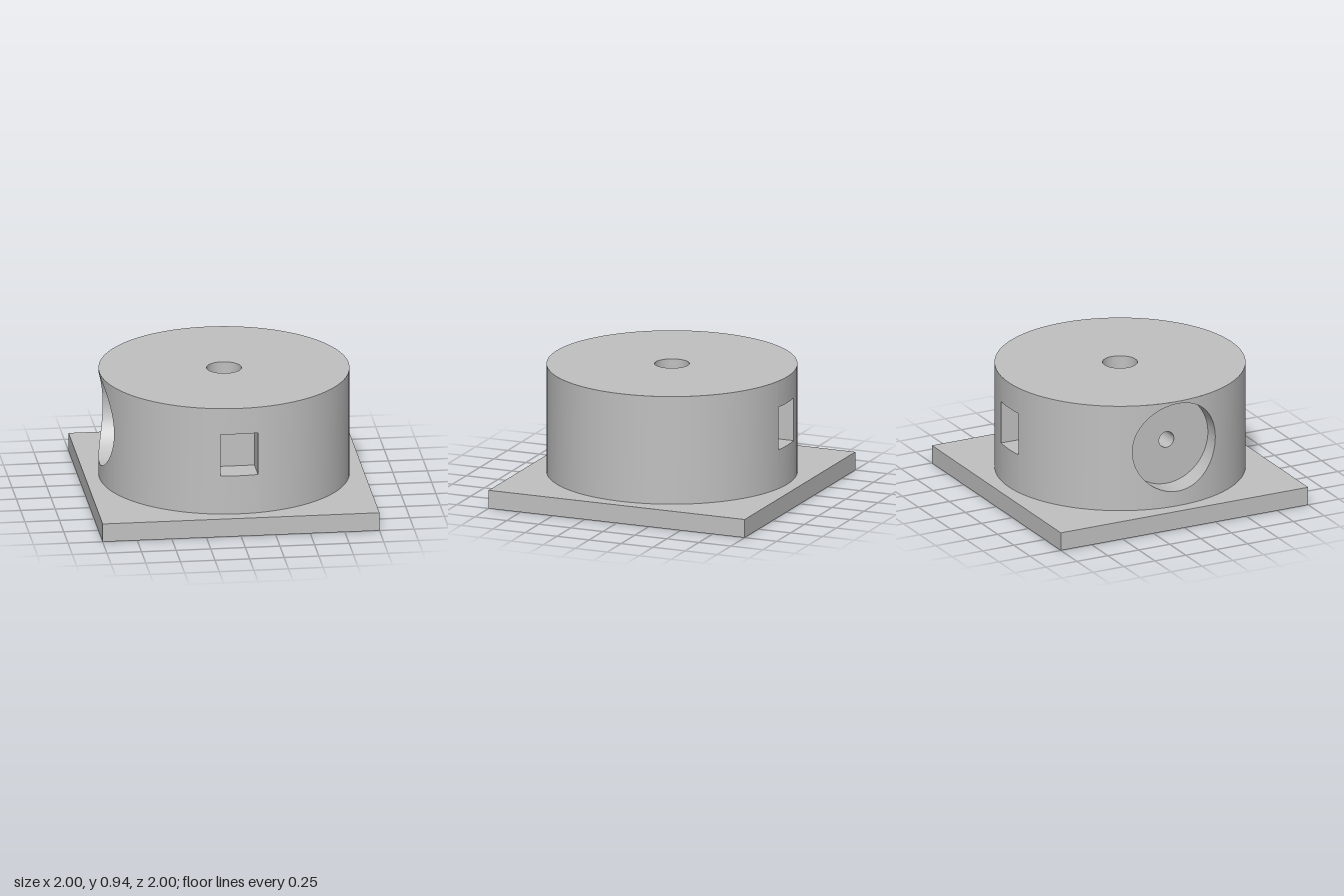
import * as THREE from 'three';
import { mergeGeometries, mergeVertices } from 'three/addons/utils/BufferGeometryUtils.js';

const R = 0.9, BASE = 0.135, TOP = 0.935, MID = 0.582;
const WIN_W = 0.136, WIN_H = 0.158, WIN_FLOOR = 0.68;     // rectangular recess, half sizes
const PORT_R = 0.335, PORT_FLOOR = 0.72, PIN_R = 0.06;    // round recess and its pin hole
const BORE_R = 0.125;

// Surface between two curves; a runs to the right below b when seen from its front
function strip(n, a, b) {
  const pos = [], idx = [];
  for (let i = 0; i <= n; i++) {
    pos.push(...a(i / n), ...b(i / n));
    if (i < n) idx.push(2 * i, 2 * i + 2, 2 * i + 3, 2 * i, 2 * i + 3, 2 * i + 1);
  }
  const g = new THREE.BufferGeometry();
  g.setAttribute('position', new THREE.Float32BufferAttribute(pos, 3));
  g.setIndex(idx);
  g.computeVertexNormals();
  return g;
}

const surfaceZ = x => Math.sqrt(R * R - x * x);

// Inward-facing walls that follow an anticlockwise outline from zFront(x) back to zBack
const tunnel = (n, outline, zFront, zBack) => strip(n,
  t => { const [x, y] = outline(t); return [x, y, zFront(x)]; },
  t => { const [x, y] = outline(t); return [x, y, zBack]; });

const circle = r => t => [r * Math.cos(t * 2 * Math.PI), MID + r * Math.sin(t * 2 * Math.PI)];

// Curved wall above and below an opening centred on +z
function wallAround(n, xAt, hAt, turn) {
  const p = (t, y) => [xAt(t), y, surfaceZ(xAt(t))];
  return [
    strip(n, t => p(t, BASE), t => p(t, MID - hAt(t))),
    strip(n, t => p(t, MID + hAt(t)), t => p(t, TOP)),
  ].map(g => g.rotateY(turn));
}

function plainWall(from, to) {
  const p = (t, y) => {
    const a = from + (to - from) * t;
    return [R * Math.sin(a), y, R * Math.cos(a)];
  };
  return strip(Math.ceil((to - from) * 20), t => p(t, BASE), t => p(t, TOP));
}

export function createModel() {
  const model = new THREE.Group();
  const grey = new THREE.MeshStandardMaterial({ color: 0xc0c0c0 });
  grey.name = 'plain grey';
  const add = (name, geometry, parent = model) => {
    const mesh = new THREE.Mesh(geometry, grey);
    mesh.name = name;
    parent.add(mesh);
    return mesh;
  };

  // Square base plate
  add('basePlate', new THREE.BoxGeometry(2, BASE, 2)).position.y = BASE / 2;

  // Drum wall with its three openings
  const a1 = Math.asin(WIN_W / R), a2 = Math.asin(PORT_R / R), PI = Math.PI;
  const winX = t => WIN_W * (2 * t - 1);
  const portAngle = t => (t - 0.5) * PI;
  const wall = mergeVertices(mergeGeometries([
    plainWall(a1, PI - a1),
    plainWall(PI + a1, 1.5 * PI - a2),
    plainWall(1.5 * PI + a2, 2 * PI - a1),
    ...wallAround(6, winX, () => WIN_H, 0),
    ...wallAround(6, winX, () => WIN_H, PI),
    ...wallAround(40, t => PORT_R * Math.sin(portAngle(t)),
      t => PORT_R * Math.cos(portAngle(t)), -PI / 2),
  ]), 1e-5);
  wall.computeVertexNormals();
  add('drumWall', wall);

  // Drum top with the centre bore
  add('drumTop', new THREE.RingGeometry(BORE_R, R, 128).rotateX(-PI / 2)).position.y = TOP;
  const bore = (t, y) => [BORE_R * Math.cos(t * 2 * PI), y, BORE_R * Math.sin(t * 2 * PI)];
  add('centreBore', strip(48, t => bore(t, BASE), t => bore(t, TOP)));
  add('boreFloor', new THREE.CircleGeometry(BORE_R, 48).rotateX(-PI / 2)).position.y = BASE + 0.001;

  // Rectangular recesses, front and back
  const corners = [[-1, -1], [1, -1], [1, 1], [-1, 1], [-1, -1]];
  const rectangle = t => {
    const s = Math.min(Math.floor(t * 4), 3), f = t * 4 - s;
    const [p, q] = [corners[s], corners[s + 1]];
    return [WIN_W * (p[0] + (q[0] - p[0]) * f), MID + WIN_H * (p[1] + (q[1] - p[1]) * f)];
  };
  for (const [name, turn] of [['frontRecess', 0], ['backRecess', PI]]) {
    const recess = new THREE.Group();
    recess.name = name;
    recess.rotation.y = turn;
    const sides = tunnel(24, rectangle, surfaceZ, WIN_FLOOR).toNonIndexed();
    sides.computeVertexNormals();
    add(name + 'Sides', sides, recess);
    add(name + 'Floor', new THREE.PlaneGeometry(2 * WIN_W, 2 * WIN_H), recess)
      .position.set(0, MID, WIN_FLOOR);
    model.add(recess);
  }

  // Round recess on the right, with a pin hole in its floor
  const port = new THREE.Group();
  port.name = 'roundRecess';
  port.rotation.y = -PI / 2;
  add('roundRecessSide', tunnel(80, circle(PORT_R), surfaceZ, PORT_FLOOR), port);
  add('roundRecessFloor', new THREE.RingGeometry(PIN_R, PORT_R, 80), port)
    .position.set(0, MID, PORT_FLOOR);
  const pinEnd = BORE_R + 0.01;
  add('pinHole', tunnel(32, circle(PIN_R), () => PORT_FLOOR, pinEnd), port);
  add('pinHoleEnd', new THREE.CircleGeometry(PIN_R, 32), port).position.set(0, MID, pinEnd);
  model.add(port);

  return model;
}
